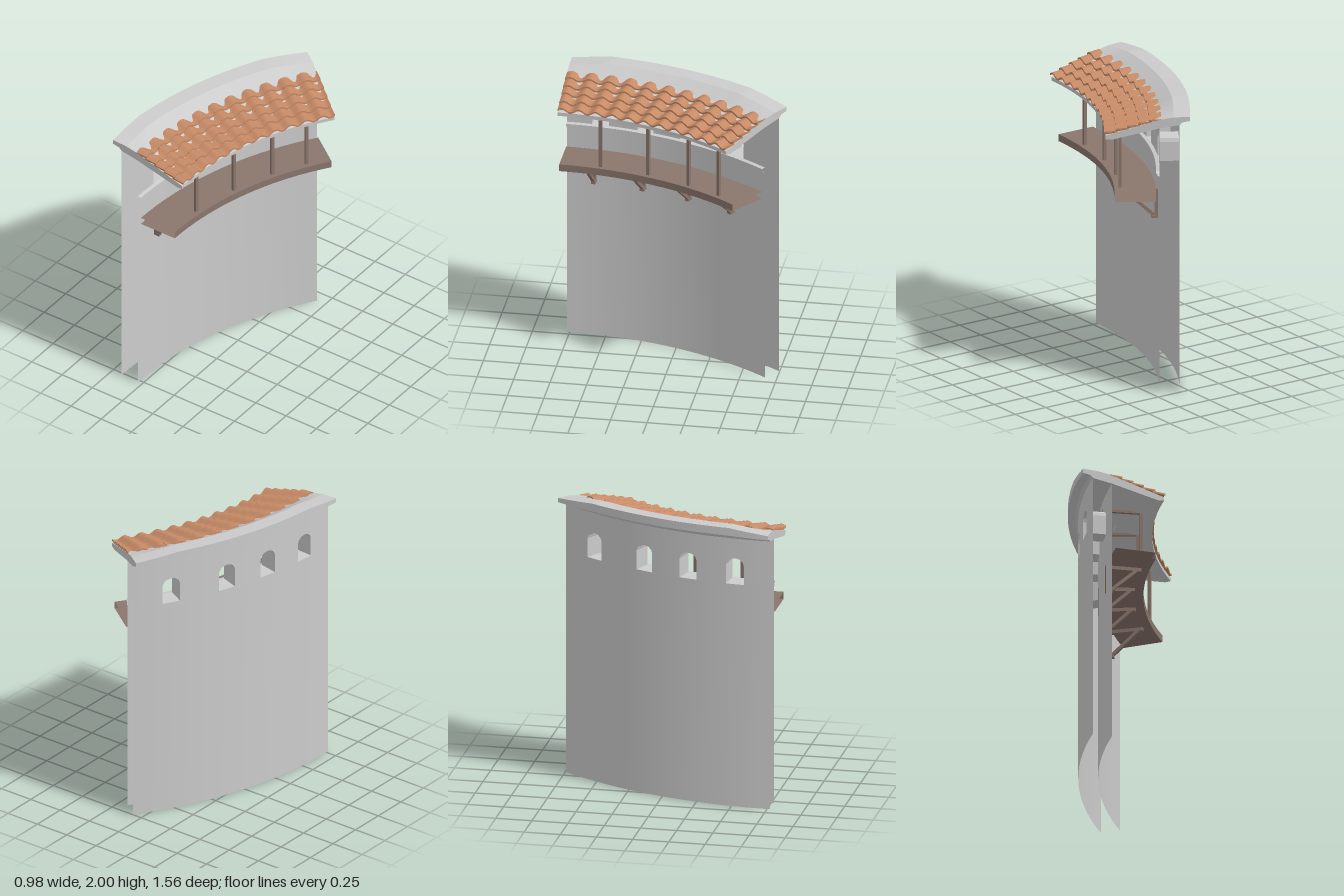
import * as THREE from 'three';
import { mergeGeometries } from 'three/addons/utils/BufferGeometryUtils.js';

const stone = new THREE.MeshStandardMaterial({ color: 0xcccccc, side: THREE.DoubleSide });
const wood = new THREE.MeshStandardMaterial({ color: 0x8a766c, side: THREE.DoubleSide });
const clay = new THREE.MeshStandardMaterial({ color: 0xc68a66, side: THREE.DoubleSide });

// Plan: everything follows an arc of 36 degrees about (CX, CZ)
const CX = 2.16, CZ = 0.77, DEG = Math.PI / 180, END = 36;
const R_OUT = 2.58, R_IN = 2.445, SILL = 1.58, CROWN = 1.765, SPRING = 1.715;
const at = (deg, r, y) => [CX - r * Math.cos(deg * DEG), y, CZ - r * Math.sin(deg * DEG)];
const range = (a, b, n) => Array.from({ length: n + 1 }, (_, i) => a + (b - a) * i / n);

// Surface between two rows of points
function strip(rowA, rowB) {
  const g = new THREE.BufferGeometry(), idx = [], n = rowA.length;
  g.setAttribute('position', new THREE.Float32BufferAttribute([...rowA, ...rowB].flat(), 3));
  for (let i = 0; i < n - 1; i++) idx.push(i, i + 1, n + i, i + 1, n + i + 1, n + i);
  g.setIndex(idx);
  g.computeVertexNormals();
  return g;
}

// Sweep a profile of [radius, height] along the arc; sharp across, smooth along
function sweep(angles, profile) {
  const rows = profile.map(p => angles.map(a => {
    const [r, y] = typeof p === 'function' ? p(a) : p;
    return at(a, r, y);
  }));
  return rows.slice(1).map((row, i) => strip(rows[i], row));
}

// Flat end of a swept closed profile
function endCap(a, profile) {
  const pts = profile.map(p => new THREE.Vector2(...(typeof p === 'function' ? p(a) : p)));
  const g = new THREE.BufferGeometry();
  g.setAttribute('position', new THREE.Float32BufferAttribute(pts.flatMap(p => at(a, p.x, p.y)), 3));
  g.setIndex(THREE.ShapeUtils.triangulateShape(pts, []).flat());
  g.computeVertexNormals();
  return g;
}

function add(parent, name, geometries, material) {
  const mesh = new THREE.Mesh(mergeGeometries(geometries), material);
  mesh.name = name;
  parent.add(mesh);
}

// Local frame on the arc: x points towards the centre
function radialGroup(name, deg, r) {
  const g = new THREE.Group();
  g.name = name;
  g.position.set(...at(deg, r, 0));
  g.rotation.y = -deg * DEG;
  return g;
}

// Square timber between two points of the local xy plane
function beam(parent, name, x0, y0, x1, y1, thick, width = thick) {
  const mesh = new THREE.Mesh(new THREE.BoxGeometry(Math.hypot(x1 - x0, y1 - y0), thick, width), wood);
  mesh.name = name;
  mesh.position.set((x0 + x1) / 2, (y0 + y1) / 2, 0);
  mesh.rotation.z = Math.atan2(y1 - y0, x1 - x0);
  parent.add(mesh);
}

export function createModel() {
  const model = new THREE.Group();
  const arc = range(0, END, 18);

  // Hollow wall: two curved sheets pierced by arched windows
  const windows = [5.45, 13, 20.5, 29.9], half = 1.4;
  const archY = (a, c) => SPRING + (CROWN - SPRING) * Math.sqrt(Math.max(0, 1 - ((a - c) / half) ** 2));
  const archAngles = c => range(0, 6, 6).map(i => c - half * Math.cos(i * Math.PI / 6));
  for (const [name, R, top] of [['outerWall', R_OUT, 1.91], ['innerWall', R_IN, 1.89]]) {
    const parts = sweep(arc, [[R, 0], [R, SILL]]);
    const edges = [0, ...windows.flatMap(c => [c - half, c + half]), END];
    for (let i = 0; i < edges.length; i += 2)
      parts.push(...sweep(range(edges[i], edges[i + 1], 4), [[R, SILL], [R, top]]));
    for (const c of windows)
      parts.push(...sweep(archAngles(c), [a => [R, archY(a, c)], [R, top]]));
    add(model, name, parts, stone);
  }

  // Window tunnels through the wall
  for (const c of windows) {
    const a = c - half, b = c + half;
    const outline = [[a, SILL], [a, SPRING], ...archAngles(c).slice(1, -1).map(d => [d, archY(d, c)]),
      [b, SPRING], [b, SILL], [a, SILL]];
    const g = strip(outline.map(([d, y]) => at(d, R_IN, y)), outline.map(([d, y]) => at(d, R_OUT, y))).toNonIndexed();
    g.computeVertexNormals();
    add(model, 'windowReveal', [g], stone);
  }

  // Moulding under the windows
  add(model, 'sillMoulding', sweep(arc, [[R_IN, 1.537], [2.43, 1.542], [2.43, 1.555], [2.42, 1.56],
    [2.42, 1.575], [R_IN, 1.58]]), stone);

  // Coping and roof slab in one profile; the coping drops towards both ends
  const lift = a => THREE.MathUtils.clamp(Math.min(a / 6, (END - a) / 7), 0, 1);
  const roof = [
    [R_OUT, 1.905], [2.6, 1.925], a => [2.65, 1.935 + 0.01 * lift(a)], a => [2.65, 1.965 + 0.035 * lift(a)],
    a => [2.54, 1.96 + 0.035 * lift(a)], [2.44, 1.94], [2.08, 1.825], [2.08, 1.8], [2.12, 1.797],
    [R_IN, 1.88], [R_OUT, 1.905],
  ];
  add(model, 'copingAndRoof', [...sweep(range(0, END, 36), roof),
    endCap(0, roof.slice(0, -1)), endCap(END, roof.slice(0, -1))], stone);

  // Wavy clay tiles, overlapping in five courses
  let seed = 7;
  const jitter = () => ((seed = (seed * 16807) % 2147483647) / 2147483647 - 0.5) * 0.008;
  const rows = 5, columns = 11, tiles = [];
  const slopeY = r => 1.836 + (r - 2.08) * 0.29;
  for (let i = 0; i < rows; i++) {
    for (let j = 0; j < columns; j++) {
      const j0 = i === 0 ? 0 : jitter();
      const lower = 2.07 + i * 0.076 + j0, upper = Math.min(lower + 0.09, 2.455);
      const wave = a => 0.013 * Math.sin(a / END * columns * 2 * Math.PI);
      const corner = (r, dy) => a => [r, slopeY(r) + dy + wave(a)];
      const profile = [corner(upper, 0.002), corner(lower, 0.02), corner(lower, 0.007),
        corner(upper, -0.008), corner(upper, 0.002)];
      const a0 = j * END / columns, a1 = (j + 1) * END / columns;
      tiles.push(...sweep(range(a0, a1, 10), profile),
        endCap(a0, profile.slice(0, -1)), endCap(a1, profile.slice(0, -1)));
    }
  }
  add(model, 'roofTiles', tiles, clay);

  // Walkway, open towards the wall
  add(model, 'walkway', sweep(arc, [[2.42, 1.405], [2.14, 1.405], [2.14, 1.355], [2.42, 1.355]]), wood);

  // Triangular brackets under the walkway
  for (const a of [4.5, 12.8, 20.9, 29.2]) {
    const g = radialGroup('bracket', a, R_IN);
    beam(g, 'bracketPost', 0.012, 1.15, 0.012, 1.355, 0.024);
    beam(g, 'bracketFoot', 0, 1.159, 0.045, 1.159, 0.018, 0.03);
    beam(g, 'bracketArm', 0, 1.342, 0.245, 1.342, 0.025);
    beam(g, 'bracketBrace', 0.025, 1.165, 0.215, 1.338, 0.022);
    model.add(g);
  }

  // Posts carrying the eave, tied back to the wall
  for (const a of [7.4, 16.5, 24.8, 31.6]) {
    const g = radialGroup('postFrame', a, 2.18);
    beam(g, 'post', 0, 1.405, 0, 1.83, 0.022);
    beam(g, 'tieBeam', -0.265, 1.822, 0.01, 1.822, 0.018);
    model.add(g);
  }
  return model;
}
